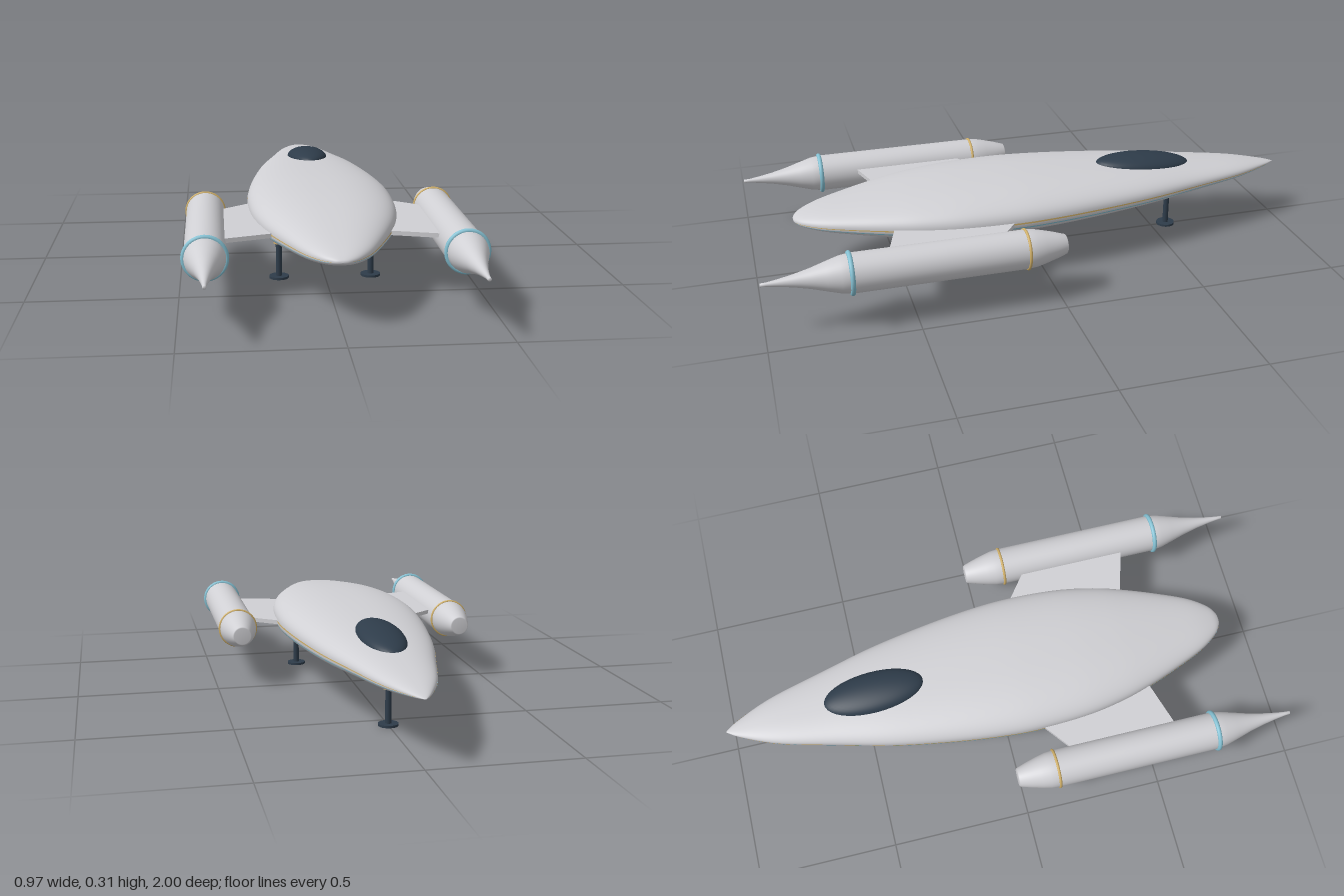
import * as THREE from 'three';
import { mergeVertices } from 'three/addons/utils/BufferGeometryUtils.js';

const mat = (name, color, side = THREE.FrontSide) => {
  const m = new THREE.MeshStandardMaterial({ color, side });
  m.name = name;
  return m;
};

// Hull: half-width along z, with a squashed superellipse section
const HULL_Y = 0.213, UP = 0.092 / 0.26, DOWN = 0.073 / 0.26, POWER = 2 / 2.4;
const hullCurve = new THREE.SplineCurve([
  [0, -1], [0.032, -0.95], [0.088, -0.82], [0.142, -0.62], [0.193, -0.42], [0.232, -0.2],
  [0.254, -0.02], [0.26, 0.12], [0.251, 0.29], [0.226, 0.43], [0.193, 0.54], [0.148, 0.66],
  [0.104, 0.76], [0.06, 0.824], [0.025, 0.85], [0, 0.855],
].map(([r, z]) => new THREE.Vector2(r, z)));

// Point on the hull section of half-width r at angle a
function hullPoint(r, a) {
  const c = Math.cos(a), s = Math.sin(a);
  const squash = (v) => Math.sign(v) * Math.pow(Math.abs(v), POWER);
  return [r * squash(c), HULL_Y + r * (s > 0 ? UP : DOWN) * squash(s)];
}

function hullGeometry() {
  const profile = hullCurve.getPoints(80).map((p) => new THREE.Vector2(Math.max(p.x, 0), p.y));
  let g = new THREE.LatheGeometry(profile, 72).rotateX(Math.PI / 2);
  const pos = g.attributes.position;
  for (let i = 0; i < pos.count; i++) {
    const x = pos.getX(i), y = pos.getY(i);
    const [hx, hy] = hullPoint(Math.hypot(x, y), Math.atan2(y, x));
    pos.setXY(i, hx, hy);
  }
  g.deleteAttribute('normal');
  g.deleteAttribute('uv');
  g = mergeVertices(g, 1e-5);
  g.computeVertexNormals();
  return g;
}

// Thin painted strip following the hull side between two section angles
function stripeGeometry(a0, a1, side) {
  const pos = [], index = [], n = 60;
  for (let i = 0; i <= n; i++) {
    const p = hullCurve.getPoint(0.05 + 0.87 * i / n);
    for (const a of [a0, a1]) {
      const [x, y] = hullPoint(p.x + 0.001, a);
      pos.push(side * x, y, p.y);
    }
    if (i < n) {
      const k = i * 2;
      index.push(k, k + 1, k + 2, k + 1, k + 3, k + 2);
    }
  }
  const g = new THREE.BufferGeometry();
  g.setAttribute('position', new THREE.Float32BufferAttribute(pos, 3));
  g.setIndex(index);
  g.computeVertexNormals();
  return g;
}

export function createModel() {
  const group = new THREE.Group();
  group.name = 'spaceship';
  const silver = mat('silver', 0xd0d0d4);
  const dark = mat('dark slate', 0x2e3c4a);
  const gold = mat('gold', 0xd0b06a);
  const blue = mat('pale blue', 0x86c2d4);
  const goldPaint = mat('gold', 0xd0b06a, THREE.DoubleSide);
  const bluePaint = mat('pale blue', 0x86c2d4, THREE.DoubleSide);

  const add = (parent, name, geometry, material, x = 0, y = 0, z = 0) => {
    const mesh = new THREE.Mesh(geometry, material);
    mesh.name = name;
    mesh.position.set(x, y, z);
    parent.add(mesh);
    return mesh;
  };

  add(group, 'hull', hullGeometry(), silver);

  // Canopy bubble, tilted with the hull's slope
  const canopy = add(group, 'canopy', new THREE.SphereGeometry(1, 40, 24), dark, 0, 0.271, -0.452);
  canopy.scale.set(0.078, 0.038, 0.185);
  canopy.rotation.x = -0.09;

  // Engine pod profile: blunt intake, straight body, tapering tail
  const podProfile = [
    [0, -0.02], [0.03, -0.02], [0.034, -0.017], [0.046, 0.02], [0.057, 0.06], [0.064, 0.09], [0.067, 0.12],
    [0.067, 0.4], [0.067, 0.71], [0.062, 0.745], [0.049, 0.79], [0.034, 0.84], [0.021, 0.895],
    [0.012, 0.945], [0.007, 0.98], [0.006, 1], [0, 1],
  ].map(([r, z]) => new THREE.Vector2(r, z));
  const podGeometry = new THREE.LatheGeometry(podProfile, 40).rotateX(Math.PI / 2);

  for (const side of [1, -1]) {
    const label = side > 0 ? 'left' : 'right';

    // Painted hull stripes
    add(group, label + 'GoldStripe', stripeGeometry(-0.01, 0.025, side), goldPaint);
    add(group, label + 'BlueStripe', stripeGeometry(-0.2, -0.13, side), bluePaint);

    // Engine pod with its rings
    const pod = new THREE.Group();
    pod.name = label + 'Engine';
    pod.position.set(side * 0.41, 0.196, 0);
    group.add(pod);
    add(pod, 'engineBody', podGeometry, silver);
    add(pod, 'frontRing', new THREE.TorusGeometry(0.067, 0.005, 10, 48), gold, 0, 0, 0.122);
    add(pod, 'rearRing', new THREE.TorusGeometry(0.067, 0.008, 12, 48), blue, 0, 0, 0.712);

    // Swept pylon wing from hull to pod
    const outline = [[0.15, 0.036], [0.38, 0.212], [0.38, 0.586], [0.15, 0.516]]
      .map(([x, z]) => new THREE.Vector2(side * x, z));
    const wing = new THREE.ExtrudeGeometry(new THREE.Shape(outline), { depth: 0.015, bevelEnabled: false });
    wing.rotateX(Math.PI / 2);
    add(group, label + 'Wing', wing, silver, 0, 0.219, 0);
  }

  // Landing legs: one towards the tip, two behind
  for (const [name, x, z] of [['tipLeg', 0, -0.56], ['leftLeg', 0.16, 0.31], ['rightLeg', -0.16, 0.31]]) {
    const leg = new THREE.Group();
    leg.name = name;
    leg.position.set(x, 0, z);
    group.add(leg);
    add(leg, 'foot', new THREE.CylinderGeometry(0.034, 0.034, 0.008, 28), dark, 0, 0.004, 0);
    add(leg, 'strut', new THREE.CylinderGeometry(0.0105, 0.0105, 0.12, 20), dark, 0, 0.066, 0);
    add(leg, 'collar', new THREE.CylinderGeometry(0.018, 0.018, 0.022, 24), gold, 0, 0.135, 0);
  }
  return group;
}
